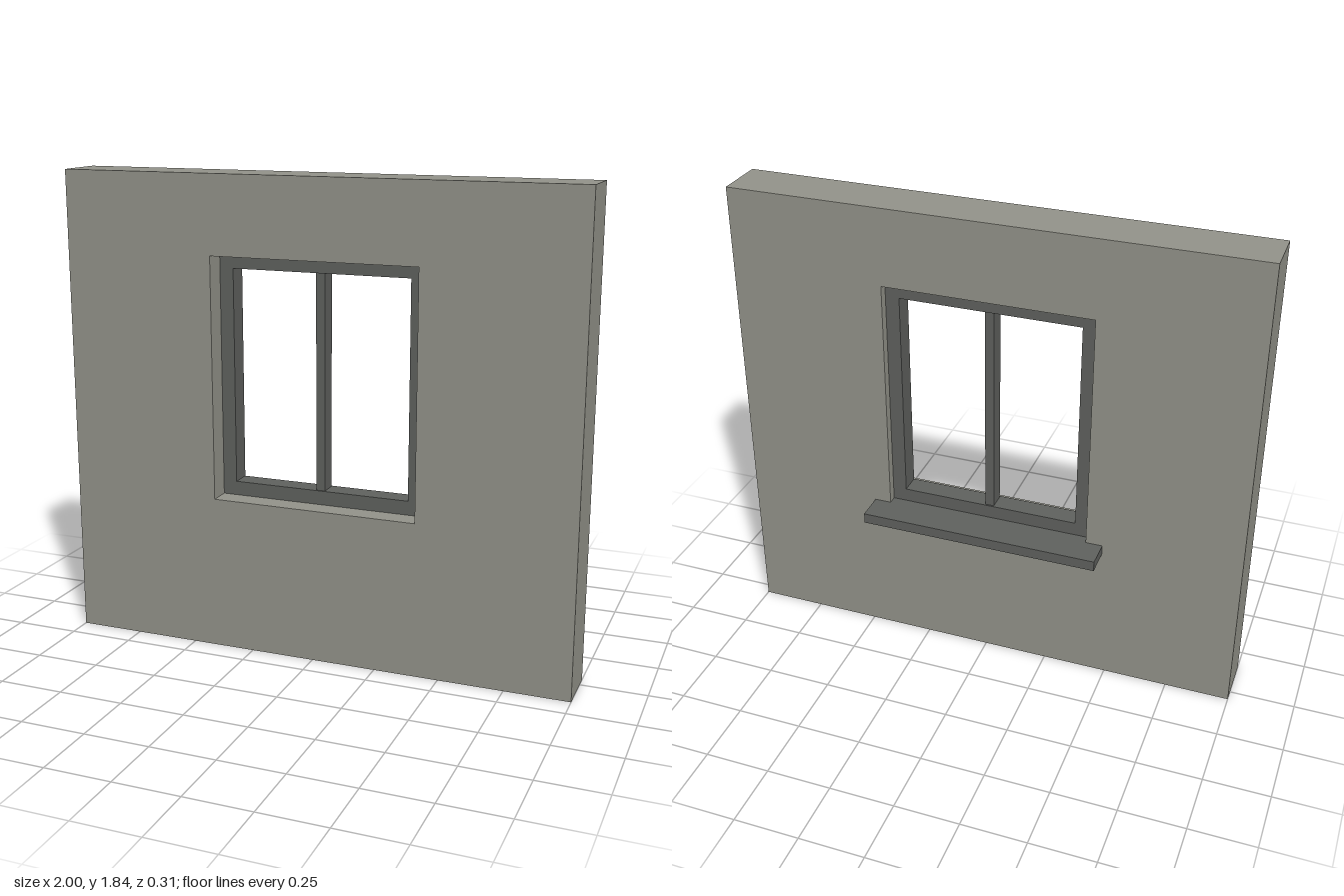
import * as THREE from 'three';

const wallMaterial = new THREE.MeshStandardMaterial({ color: 0x94948b });
wallMaterial.name = 'warm grey wall';
const frameMaterial = new THREE.MeshStandardMaterial({ color: 0x60625f });
frameMaterial.name = 'dark grey frame';

// Corner points of an upright rectangle
function corners(halfWidth, bottom, top) {
  return [[-halfWidth, bottom], [halfWidth, bottom], [halfWidth, top], [-halfWidth, top]]
    .map(([x, y]) => new THREE.Vector2(x, y));
}

// Slab with a rectangular opening, from zBack to zFront
function piercedSlab(name, outer, inner, zBack, zFront, material) {
  const shape = new THREE.Shape(corners(...outer));
  shape.holes.push(new THREE.Path(corners(...inner)));
  const geometry = new THREE.ExtrudeGeometry(shape, { depth: zFront - zBack, bevelEnabled: false });
  geometry.translate(0, 0, zBack);
  const mesh = new THREE.Mesh(geometry, material);
  mesh.name = name;
  return mesh;
}

// Box given by its extents
function block(name, halfWidth, bottom, top, zBack, zFront, material) {
  const mesh = new THREE.Mesh(new THREE.BoxGeometry(halfWidth * 2, top - bottom, zFront - zBack), material);
  mesh.position.set(0, (bottom + top) / 2, (zBack + zFront) / 2);
  mesh.name = name;
  return mesh;
}

export function createModel() {
  const model = new THREE.Group();
  model.name = 'wallWithWindow';

  const opening = [0.402, 0.6, 1.535];
  const daylight = [0.348, 0.654, 1.481];

  // Wall with the window opening
  model.add(piercedSlab('wall', [1, 0, 1.835], opening, -0.045, 0.155, wallMaterial));

  // Frame set back inside the opening, with a centre post
  const windowUnit = new THREE.Group();
  windowUnit.name = 'window';
  windowUnit.add(
    piercedSlab('windowFrame', opening, daylight, -0.01, 0.07, frameMaterial),
    block('mullion', 0.0175, daylight[1], daylight[2], -0.004, 0.064, frameMaterial),
  );
  model.add(windowUnit);

  // Outer sill on the back, tucked up to the frame
  model.add(block('sill', 0.467, 0.56, 0.601, -0.155, -0.008, frameMaterial));

  return model;
}
